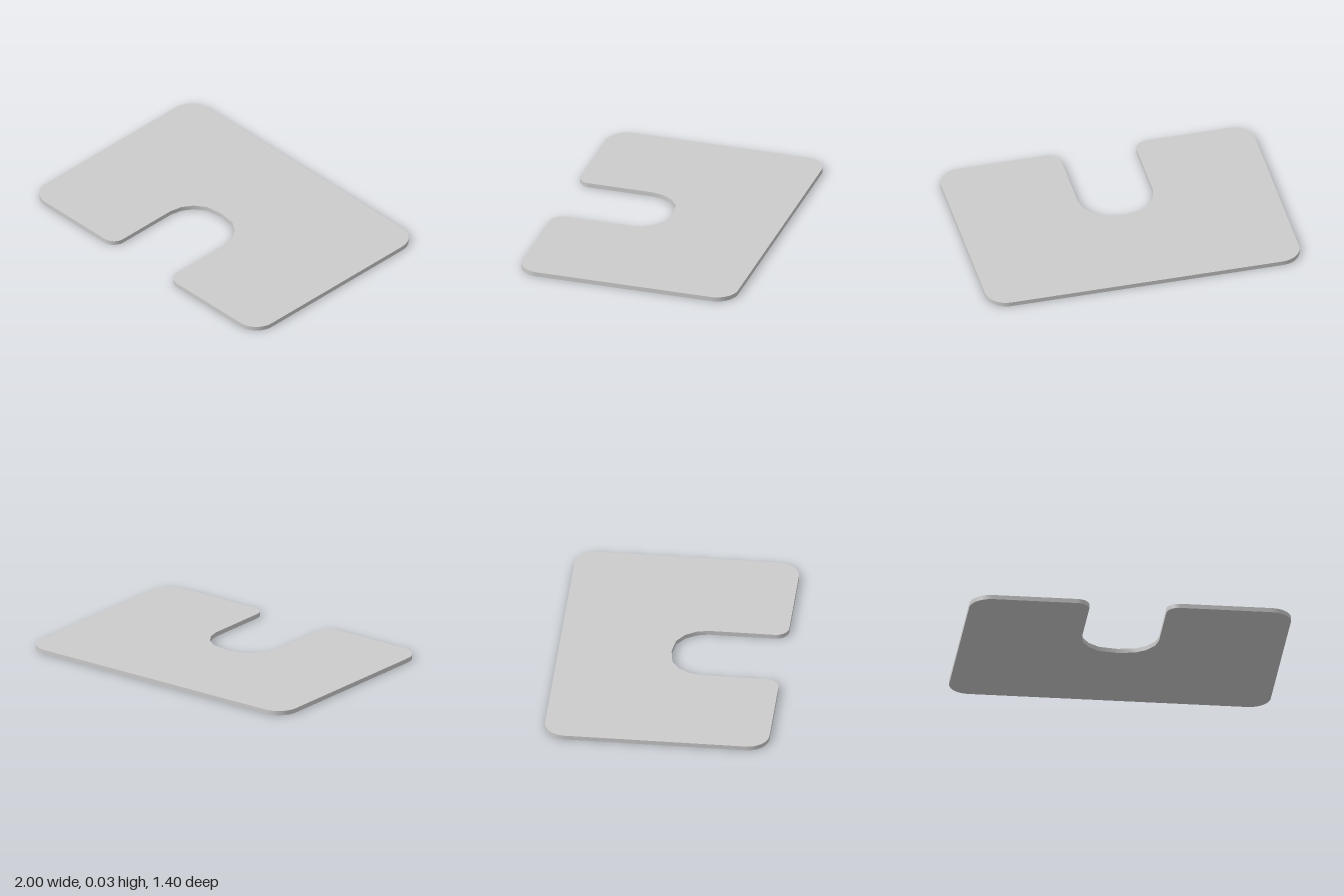
import * as THREE from 'three';
import { toCreasedNormals } from 'three/addons/utils/BufferGeometryUtils.js';

const THICKNESS = 0.028;
const HALF_DEPTH = 0.698;
const CORNER = 0.135; // outer corner radius
const LIP = 0.08; // rounding at the slot mouth
const SLOT_X = -0.02;
const SLOT_HALF = 0.24;

export function createModel() {
  const group = new THREE.Group();
  group.name = 'slottedMat';

  // Outline drawn in x and -z, counter-clockwise from the slot's right lip
  const s = new THREE.Shape();
  const front = -HALF_DEPTH, back = HALF_DEPTH;
  const slotL = SLOT_X - SLOT_HALF, slotR = SLOT_X + SLOT_HALF;
  const q = Math.PI / 2;
  s.moveTo(slotR + LIP, front);
  s.absarc(1 - CORNER, front + CORNER, CORNER, -q, 0, false);
  s.absarc(1 - CORNER, back - CORNER, CORNER, 0, q, false);
  s.absarc(-1 + CORNER, back - CORNER, CORNER, q, 2 * q, false);
  s.absarc(-1 + CORNER, front + CORNER, CORNER, 2 * q, 3 * q, false);
  s.absarc(slotL - LIP, front + LIP, LIP, -q, 0, false);

  // Slot arch, half of it mirrored about the slot centre
  const arch = [[0.24, -0.205], [0.223, -0.13], [0.18, -0.064], [0.112, -0.016]];
  arch.forEach(([dx, y]) => s.lineTo(SLOT_X - dx, y));
  s.lineTo(SLOT_X, 0);
  [...arch].reverse().forEach(([dx, y]) => s.lineTo(SLOT_X + dx, y));
  s.absarc(slotR + LIP, front + LIP, LIP, 2 * q, 3 * q, false);

  // Flat plate with softly shaded rim corners and sharp top and bottom edges
  let geometry = new THREE.ExtrudeGeometry(s, {
    depth: THICKNESS, bevelEnabled: false, curveSegments: 6,
  });
  geometry.rotateX(-Math.PI / 2);
  geometry = toCreasedNormals(geometry, 0.7);

  const plate = new THREE.Mesh(geometry, new THREE.MeshStandardMaterial({ color: 0xcccccc }));
  plate.name = 'plate';
  group.add(plate);
  return group;
}
